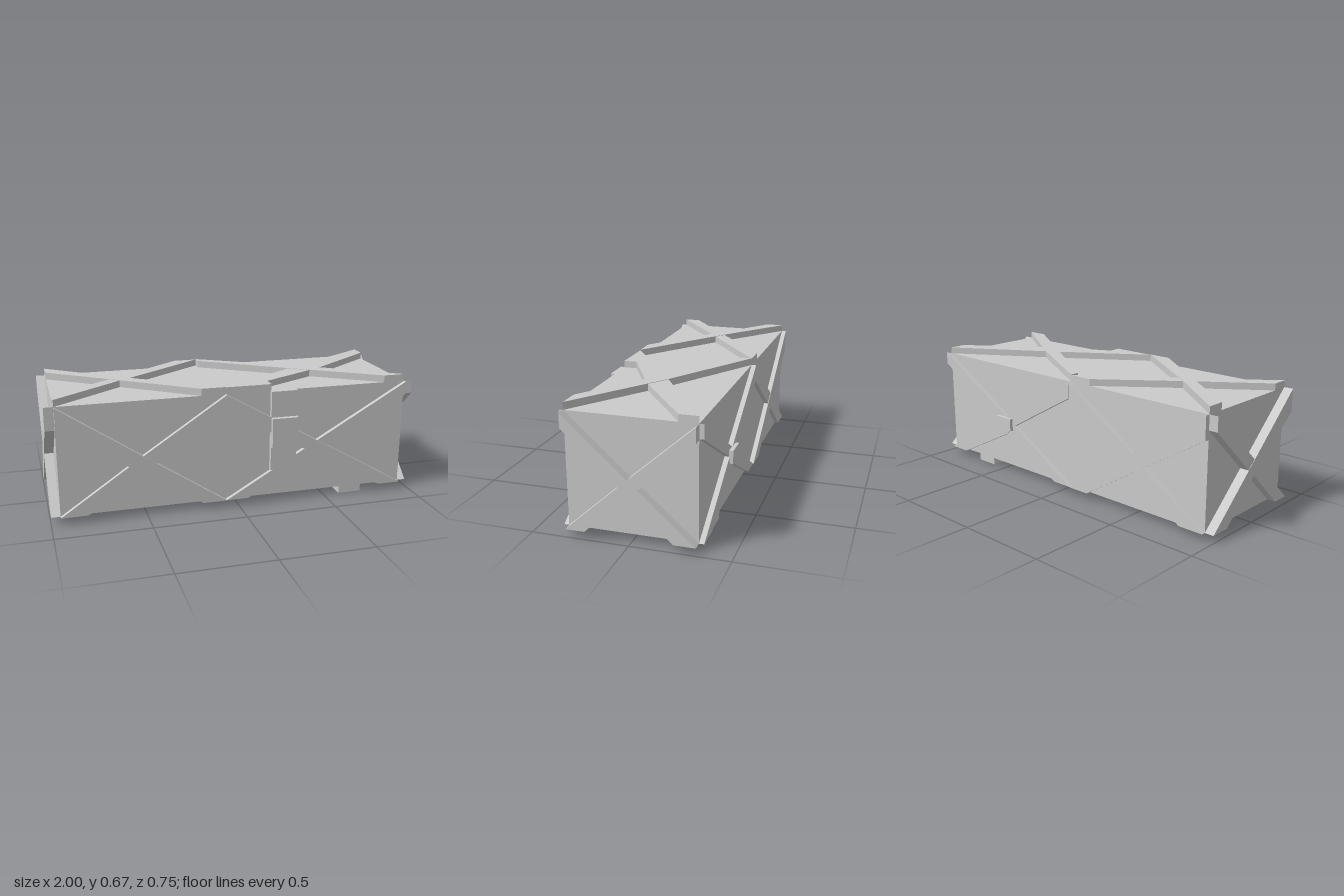
import * as THREE from 'three';

const X0 = -0.95, X1 = 0.95, XM = -0.07; // body ends and the split between the two cross panels
const Y0 = 0.04, Y1 = 0.627, ZF = 0.325, ZB = -0.33;
const SINK = 0.004;

export function createModel() {
  const group = new THREE.Group();
  const mat = new THREE.MeshStandardMaterial({ color: 0xcccccc, flatShading: true });

  const add = (name, geo) => {
    const mesh = new THREE.Mesh(geo, mat);
    mesh.name = name;
    group.add(mesh);
    return mesh;
  };
  const box = (name, x0, x1, y0, y1, z0, z1) =>
    add(name, new THREE.BoxGeometry(x1 - x0, y1 - y0, z1 - z0)
      .translate((x0 + x1) / 2, (y0 + y1) / 2, (z0 + z1) / 2));

  // Each side turns a flat plank outline (u, v) onto one face of the crate
  const sides = {
    front: { map: p => p, place: g => g.translate(0, 0, ZF - SINK) },
    back: { map: ([x, y]) => [-x, y], place: g => g.rotateY(Math.PI).translate(0, 0, ZB + SINK) },
    left: { map: ([z, y]) => [-z, y], place: g => g.rotateY(Math.PI / 2).translate(X1 - SINK, 0, 0) },
    right: { map: p => p, place: g => g.rotateY(-Math.PI / 2).translate(X0 + SINK, 0, 0) },
    top: { map: ([x, z]) => [x, -z], place: g => g.rotateX(-Math.PI / 2).translate(0, Y1 - SINK, 0) },
  };
  const plank = (side, outline, thick) => {
    const s = sides[side];
    const shape = new THREE.Shape(outline.map(p => new THREE.Vector2(...s.map(p))));
    const geo = new THREE.ExtrudeGeometry(shape, { depth: thick + SINK, bevelEnabled: false });
    add(side + 'Brace', s.place(geo));
  };

  // Crate body and the batten under it
  box('body', X0, X1, Y0, Y1, ZB, ZF);
  box('bottomBatten', 0.59, 0.72, 0, Y0 + SINK, ZB, ZF);

  // Diagonal planks of the long walls, cut flush with the panel edges
  const wall = [
    [[X0, Y1], [-0.515, 0.335], [XM, Y0], [-0.2, Y0], [-0.59, 0.285], [X0, 0.505]],
    [[XM, Y1], [-0.515, 0.335], [X0, Y0], [-0.81, Y0], [-0.52, 0.245], [-0.45, 0.285], [XM, 0.54]],
    [[XM, Y1], [0.44, 0.335], [X1, Y0], [0.82, Y0], [0.43, 0.235], [0.365, 0.295], [XM, 0.54]],
    [[X1, Y1], [0.44, 0.335], [XM, Y0], [0.05, Y0], [0.44, 0.245], [0.495, 0.3], [X1, 0.555]],
  ];
  for (const side of ['front', 'back'])
    wall.forEach((o, i) => plank(side, o, i % 2 ? 0.023 : 0.026));

  // Diagonal planks of the lid
  const lid = [
    [[X0, ZB], [-0.58, -0.04], [XM, ZF], [-0.2, ZF], [-0.63, 0], [X0, -0.235]],
    [[X0, ZF], [-0.58, 0.04], [-0.52, 0], [XM, ZB], [-0.2, ZB], [-0.63, 0], [X0, 0.235]],
    [[XM, ZB], [0.45, -0.02], [X1, ZF], [0.83, ZF], [0.38, 0.025], [XM, -0.28]],
    [[XM, ZF], [0.38, 0.025], [0.45, -0.02], [X1, ZB], [X1, -0.235], [0.545, 0.06], [0.18, 0.255], [0.18, ZF]],
  ];
  lid.forEach((o, i) => plank('top', o, i % 2 ? 0.036 : 0.038));

  // Single crosses on both ends
  const end = low => [
    [[ZF, Y1], [0, 0.335], [ZB, Y0], [-0.22, Y0], [0, 0.25], [0.045, 0.29], [ZF, low]],
    [[ZB, Y1], [0, 0.335], [ZF, Y0], [0.225, Y0], [0, 0.25], [-0.05, 0.29], [ZB, 0.55]],
  ];
  end(0.555).forEach((o, i) => plank('left', o, i ? 0.048 : 0.05));
  end(0.505).forEach((o, i) => plank('right', o, i ? 0.048 : 0.05));

  // Upright board on the front, raised where it passes over the brace
  box('frontBoard', 0.175, 0.32, 0.19, Y1, ZF - SINK, ZF + 0.024);
  box('frontBoardStep', 0.175, 0.32, 0.32, 0.485, ZF, 0.376);

  // Small pad over the back crossing
  box('backPad', 0.38, 0.5, 0.265, 0.335, -0.375, ZB);

  return group;
}
